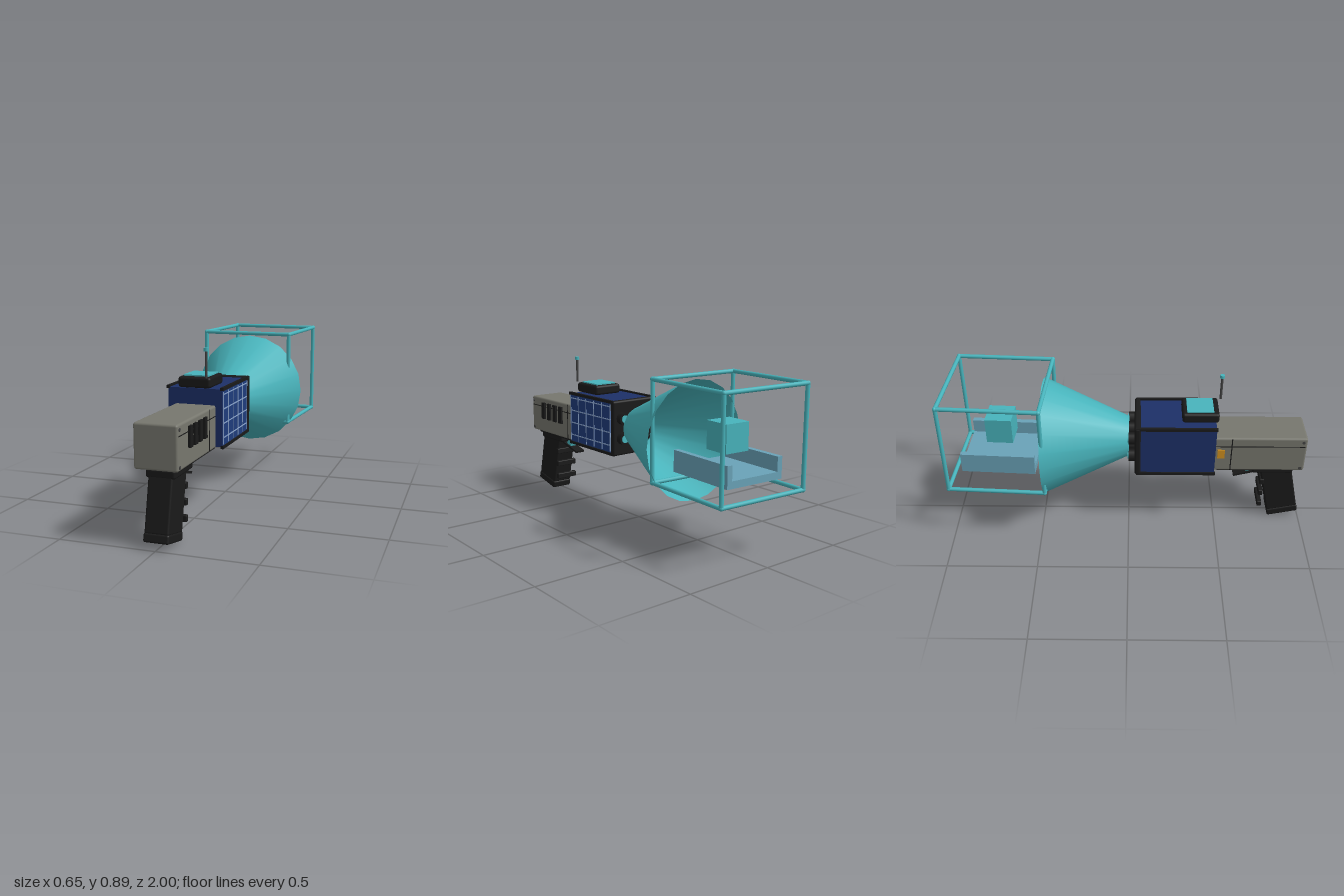
import * as THREE from 'three';
import { RoundedBoxGeometry } from 'three/addons/geometries/RoundedBoxGeometry.js';

const mat = (color, opts = {}) => new THREE.MeshStandardMaterial({ color, ...opts });

export function createModel() {
  const root = new THREE.Group();
  const black = mat(0x1a1a1a), grey = mat(0x77776e), blue = mat(0x1d3068), panelBlue = mat(0x1f3c7c);
  const teal = mat(0x48b4bc), tealOpen = mat(0x48b4bc, { side: THREE.DoubleSide });
  const trayBlue = mat(0x6aa3b8), line = mat(0x8aa4cc), orange = mat(0xd09020), steel = mat(0x444444);

  const add = (name, geo, m, x, y, z, parent = root) => {
    const mesh = new THREE.Mesh(geo, m);
    mesh.name = name;
    mesh.position.set(x, y, z);
    parent.add(mesh);
    return mesh;
  };
  // Box given by its min and max on each axis; r rounds the edges
  const span = (name, m, [x0, x1], [y0, y1], [z0, z1], r = 0, parent = root) => {
    const s = [x1 - x0, y1 - y0, z1 - z0];
    const geo = r ? new RoundedBoxGeometry(...s, 2, r) : new THREE.BoxGeometry(...s);
    return add(name, geo, m, (x0 + x1) / 2, (y0 + y1) / 2, (z0 + z1) / 2, parent);
  };
  // Cylinder along z
  const rodZ = (name, m, r, len, x, y, z, parent = root) => {
    const mesh = add(name, new THREE.CylinderGeometry(r, r, len, 12), m, x, y, z, parent);
    mesh.rotation.x = Math.PI / 2;
    return mesh;
  };

  // Rear housing with seams, vents and screws
  span('rearHousing', grey, [-0.11, 0.11], [0.38, 0.6], [0.46, 0.98], 0.012);
  for (const s of [-1, 1]) {
    const x = s * 0.11;
    span('longSeam', black, [x - 0.001, x + 0.001], [0.543, 0.548], [0.47, 0.97]);
    span('crossSeam', black, [x - 0.001, x + 0.001], [0.385, 0.595], [0.564, 0.57]);
    for (const y of [0.4, 0.575]) {
      const screw = rodZ('screw', steel, 0.009, 0.006, x, y, 0.957);
      screw.rotation.set(0, 0, Math.PI / 2);
    }
  }
  for (let i = 0; i < 4; i++) {
    const z = 0.64 + i * 0.065;
    span('vent', black, [0.105, 0.122], [0.468, 0.572], [z - 0.017, z + 0.017]);
  }
  span('sideSwitch', orange, [-0.116, -0.1], [0.467, 0.525], [0.49, 0.53]);

  // Underside rail and grip
  span('bottomRail', black, [-0.095, 0.095], [0.368, 0.39], [0.435, 0.92], 0.006);
  span('gripCollar', black, [-0.075, 0.075], [0.33, 0.375], [0.7, 0.93], 0.012);
  const grip = new THREE.Group();
  grip.name = 'grip';
  grip.position.set(0, 0.196, 0.87);
  grip.rotation.x = -0.22;
  root.add(grip);
  span('gripBody', black, [-0.062, 0.062], [-0.14, 0.17], [-0.088, 0.088], 0.01, grip);
  span('gripBase', black, [-0.065, 0.065], [-0.18, -0.135], [-0.09, 0.09], 0.01, grip);
  for (const y of [0.26, 0.178, 0.095])
    span('fingerRidge', black, [-0.068, 0.068], [y - 0.017, y + 0.017], [0.752, 0.778], 0.005);

  // Trigger and guard
  const trigger = span('trigger', teal, [-0.02, 0.02], [0.3, 0.38], [0.665, 0.71]);
  trigger.rotation.x = -0.25;
  const guard = span('triggerGuard', black, [-0.03, 0.03], [0.292, 0.304], [0.598, 0.75]);
  guard.rotation.x = -0.26;

  // Main body with edge rails and front plate
  span('body', blue, [-0.145, 0.145], [0.387, 0.683], [0.05, 0.475]);
  for (const x of [-0.145, 0.145])
    for (const y of [0.386, 0.684])
      span('edgeRail', black, [x - 0.008, x + 0.008], [y - 0.008, y + 0.008], [0.04, 0.48]);
  span('frontPlate', black, [-0.155, 0.155], [0.378, 0.692], [0.032, 0.066], 0.012);

  // Gridded side panel
  span('sidePanel', panelBlue, [0.14, 0.149], [0.395, 0.675], [0.07, 0.472]);
  for (let i = 0; i < 6; i++) {
    const z = 0.073 + i * 0.079;
    span('panelLineUpright', line, [0.146, 0.151], [0.4, 0.67], [z - 0.003, z + 0.003]);
  }
  for (let i = 0; i < 4; i++) {
    const y = 0.435 + i * 0.074;
    span('panelLineLevel', line, [0.146, 0.151], [y - 0.003, y + 0.003], [0.07, 0.472]);
  }

  // Top display and antenna
  span('displayBase', black, [-0.087, 0.087], [0.685, 0.741], [0.29, 0.49], 0.014);
  span('displayScreen', teal, [-0.067, 0.067], [0.735, 0.748], [0.315, 0.46]);
  add('antennaRod', new THREE.CylinderGeometry(0.007, 0.007, 0.14, 10), steel, 0.073, 0.812, 0.506);
  add('antennaTip', new THREE.CylinderGeometry(0.013, 0.013, 0.018, 10), teal, 0.073, 0.884, 0.506);

  // Emitters on the front plate
  for (const x of [-0.1, 0, 0.1])
    for (const y of [0.478, 0.592]) {
      rodZ('emitter', black, 0.034, 0.034, x, y, 0.017);
      rodZ('emitterTip', teal, 0.022, 0.008, x, y, -0.003);
    }

  // Open beam cone, widening forward
  const cone = add('beamCone', new THREE.CylinderGeometry(0.11, 0.324, 0.472, 20, 1, true),
    tealOpen, 0, 0.538, -0.234);
  cone.rotation.set(Math.PI / 2, Math.PI / 2, 0, 'XYZ');

  // Slightly turned wire cage holding a tray and a cube
  const cage = new THREE.Group();
  cage.name = 'cage';
  cage.position.set(0.003, 0.613, -0.71);
  cage.rotation.y = -0.055;
  root.add(cage);
  const h = 0.266, bar = new THREE.CylinderGeometry(0.0115, 0.0115, 2 * h, 10);
  for (const a of [-h, h])
    for (const b of [-h, h]) {
      add('uprightBar', bar, teal, a, 0, b, cage);
      add('crossBar', bar, teal, 0, a, b, cage).rotation.z = Math.PI / 2;
      add('lengthBar', bar, teal, a, b, 0, cage).rotation.x = Math.PI / 2;
      for (const c of [-h, h])
        add('cageCorner', new THREE.SphereGeometry(0.013, 10, 8), teal, a, b, c, cage);
    }
  span('trayBase', trayBlue, [-0.177, 0.177], [-0.208, -0.17], [-0.204, 0.204], 0, cage);
  for (const s of [-1, 1])
    add('trayWall', new THREE.BoxGeometry(0.03, 0.115, 0.408), trayBlue, s * 0.162, -0.1505, 0, cage);
  span('heldCube', teal, [-0.073, 0.073], [-0.078, 0.07], [-0.073, 0.073], 0, cage);

  return root;
}
